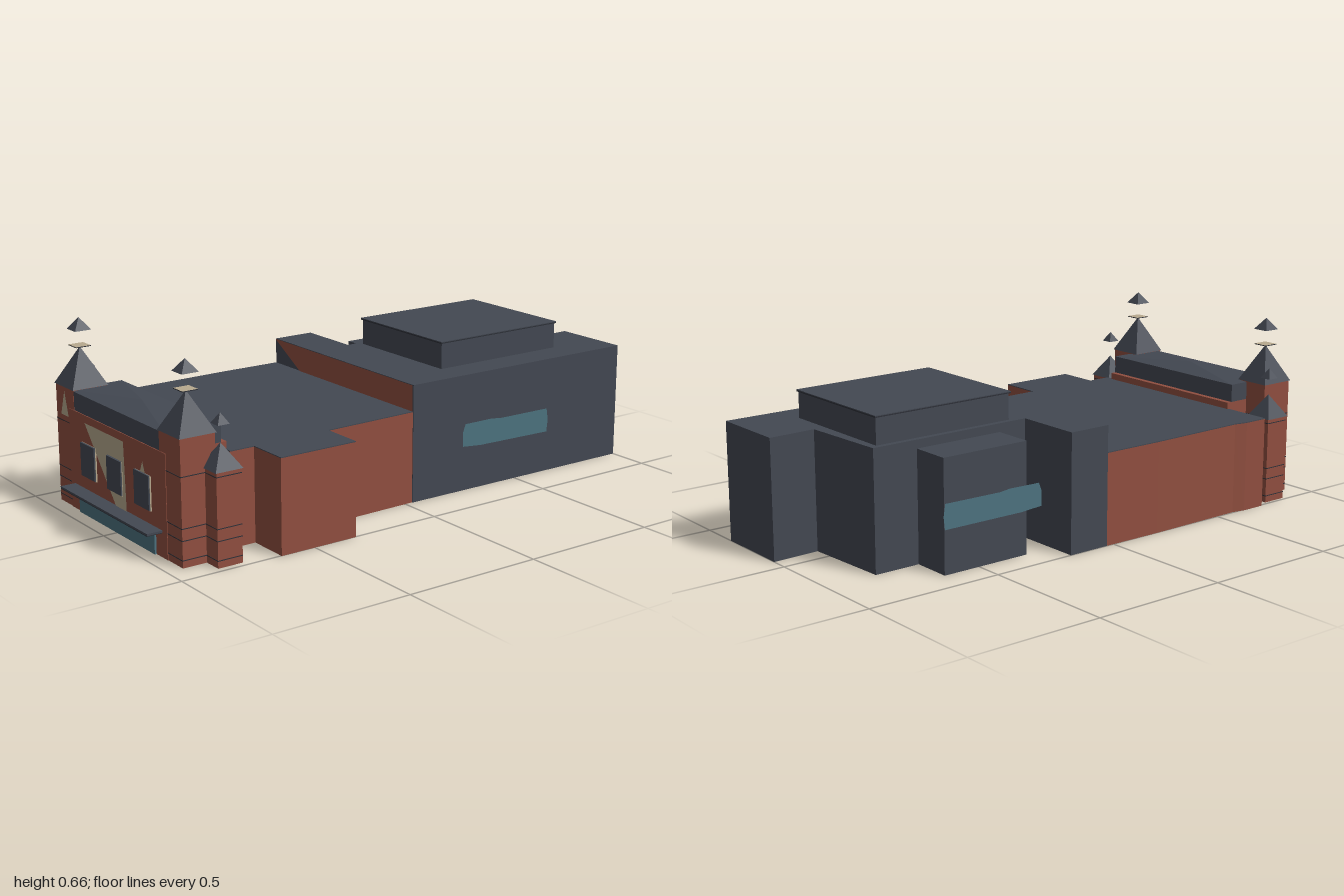
import * as THREE from 'three';

export function createModel() {
  const model = new THREE.Group();
  const mat = (name, color) => {
    const m = new THREE.MeshStandardMaterial({ color });
    m.name = name;
    return m;
  };
  const brick = mat('brick', 0x914f40);
  const slate = mat('slate', 0x434852);
  const cream = mat('cream', 0xb8aa8f);
  const glass = mat('glass', 0x4d7380);
  const trim = mat('dark trim', 0x2d3038);
  const glassPane = mat('side glass', 0x4d7380);
  glassPane.side = THREE.DoubleSide;

  const add = (name, geo, material, parent = model) => {
    const mesh = new THREE.Mesh(geo, material);
    mesh.name = name;
    parent.add(mesh);
    return mesh;
  };
  // Box given by its two extremes on each axis
  const box = (name, x0, x1, y0, y1, z0, z1, material, parent) => {
    const geo = new THREE.BoxGeometry(x1 - x0, y1 - y0, z1 - z0);
    geo.translate((x0 + x1) / 2, (y0 + y1) / 2, (z0 + z1) / 2);
    return add(name, geo, material, parent);
  };
  // Four-sided pyramid with flat faces
  const pyramid = (name, x, z, y0, y1, hx, hz, material, parent) => {
    const cone = new THREE.ConeGeometry(Math.SQRT2, y1 - y0, 4);
    cone.rotateY(Math.PI / 4).scale(hx, 1, hz).translate(x, (y0 + y1) / 2, z);
    const geo = cone.toNonIndexed();
    geo.computeVertexNormals();
    return add(name, geo, material, parent);
  };
  // Footprint of [x, z] points raised from y0 to y1
  const block = (name, pts, y0, y1, material) => {
    const shape = new THREE.Shape(pts.map(([x, z]) => new THREE.Vector2(x, -z)));
    const geo = new THREE.ExtrudeGeometry(shape, { depth: y1 - y0, bevelEnabled: false });
    geo.rotateX(-Math.PI / 2).translate(0, y0, 0);
    return add(name, geo, material);
  };
  // Flat outline of [x, y] points facing the front
  const plate = (name, pts, z, material) => {
    const shape = new THREE.Shape(pts.map(([x, y]) => new THREE.Vector2(x, y)));
    return add(name, new THREE.ShapeGeometry(shape).translate(0, 0, z), material);
  };

  // Brick hall with a side annex and flat roof
  const hall = [[-0.5, -0.03], [0.34, -0.03], [0.348, 0.335], [0.503, 0.335], [0.503, 0.63],
    [0.35, 0.63], [0.35, 0.722], [-0.507, 0.722], [-0.507, 0.63], [-0.497, 0.58], [-0.503, 0.2]];
  block('hallWalls', hall, 0, 0.328, brick);
  block('hallRoof', hall, 0.328, 0.331, slate);

  // Slate rear building
  block('rearBuilding', [[-0.5, -0.03], [-0.5, -0.19], [-0.255, -0.19], [-0.255, -0.81], [0.068, -0.828],
    [0.062, -1], [0.35, -1], [0.343, -0.03]], 0, 0.425, slate);
  box('rearAnnex', -0.4, -0.25, 0, 0.395, -0.64, -0.3, slate);
  box('upperStorey', -0.235, 0.23, 0.42, 0.52, -0.785, -0.245, slate);
  box('upperStoreyEave', -0.241, 0.234, 0.518, 0.522, -0.79, -0.24, trim);
  box('upperStoreyRoof', -0.241, 0.234, 0.522, 0.525, -0.79, -0.24, slate);
  plate('brickGable', [[-0.5, 0.424], [-0.34, 0.331], [0.341, 0.331], [0.341, 0.424]], -0.027, brick);

  // Side glazing, slightly skewed to the walls
  const strip = (name, xFront, xBack) => {
    const pts = [[-0.25, 0.165], [-0.33, 0.158], [-0.64, 0.155], [-0.645, 0.2], [-0.638, 0.243],
      [-0.42, 0.243], [-0.38, 0.248], [-0.26, 0.247], [-0.25, 0.22]];
    const shape = new THREE.Shape(pts.map(([z, y]) => new THREE.Vector2(-z, y)));
    const geo = new THREE.ShapeGeometry(shape).rotateY(Math.PI / 2);
    const p = geo.attributes.position;
    for (let i = 0; i < p.count; i++) {
      p.setX(i, THREE.MathUtils.mapLinear(p.getZ(i), -0.25, -0.645, xFront, xBack));
    }
    geo.computeVertexNormals();
    add(name, geo, glassPane);
  };
  strip('rightGlazing', 0.35, 0.36);
  strip('leftGlazing', -0.416, -0.404);

  // Front block and its shallow hipped roof
  box('frontBlock', -0.325, 0.32, 0, 0.355, 0.715, 0.943, brick);
  box('frontRoofBase', -0.325, 0.32, 0.355, 0.42, 0.735, 0.94, slate);
  pyramid('frontRoofPeak', -0.0025, 0.8375, 0.42, 0.44, 0.3225, 0.1025, slate);

  // Facade details
  plate('facadePanel', [[-0.208, 0.33], [-0.005, 0.09], [0.066, 0.09], [0.057, 0.33]], 0.946, cream);
  plate('windowGable', [[0.163, 0.257], [0.195, 0.257], [0.18, 0.295]], 0.946, cream);
  [-0.185, -0.004, 0.178].forEach((x) => {
    box('windowFrame', x - 0.05, x + 0.049, 0.138, 0.257, 0.942, 0.948, cream);
    box('window', x - 0.047, x + 0.048, 0.141, 0.258, 0.946, 0.953, slate);
  });
  box('entranceGlass', -0.26, 0.25, 0, 0.083, 0.942, 0.95, glass);
  box('canopy', -0.298, 0.291, 0.085, 0.092, 0.94, 1, slate);
  box('canopyEdge', -0.298, 0.291, 0.083, 0.087, 0.945, 1, trim);

  // Corner towers: square shaft, thin bands, spire and floating finial
  const tower = (name, x, z, half, wall, eave, tip) => {
    const g = new THREE.Group();
    g.name = name;
    model.add(g);
    box('shaft', x - half, x + half, 0, wall, z - half, z + half, brick, g);
    const b = half + 0.0008;
    [0.025, 0.09, 0.13, 0.3].forEach((y) =>
      box('band', x - b, x + b, y - 0.0015, y + 0.0015, z - b, z + b, trim, g));
    pyramid('spire', x, z, wall, tip, eave, eave, slate, g);
    return g;
  };
  [[-0.353, -0.442], [0.346, 0.431]].forEach(([xl, xs], i) => {
    const side = i ? 'right' : 'left';
    const large = tower(side + 'LargeTower', xl, 0.877, 0.064, 0.424, 0.068, 0.557);
    box('finialPlate', xl - 0.028, xl + 0.028, 0.559, 0.562, 0.849, 0.905,
      [trim, trim, cream, trim, trim, trim], large);
    pyramid('finial', xl, 0.877, 0.617, 0.659, 0.031, 0.031, [slate, slate, cream], large);
    const small = tower(side + 'SmallTower', xs, 0.807, 0.046, 0.315, 0.051, 0.395);
    pyramid('finial', xs, 0.807, 0.457, 0.493, 0.022, 0.022, [slate, slate, cream], small);
  });
  plate('towerGable', [[-0.382, 0.322], [-0.328, 0.322], [-0.353, 0.41]], 0.943, cream);

  return model;
}
